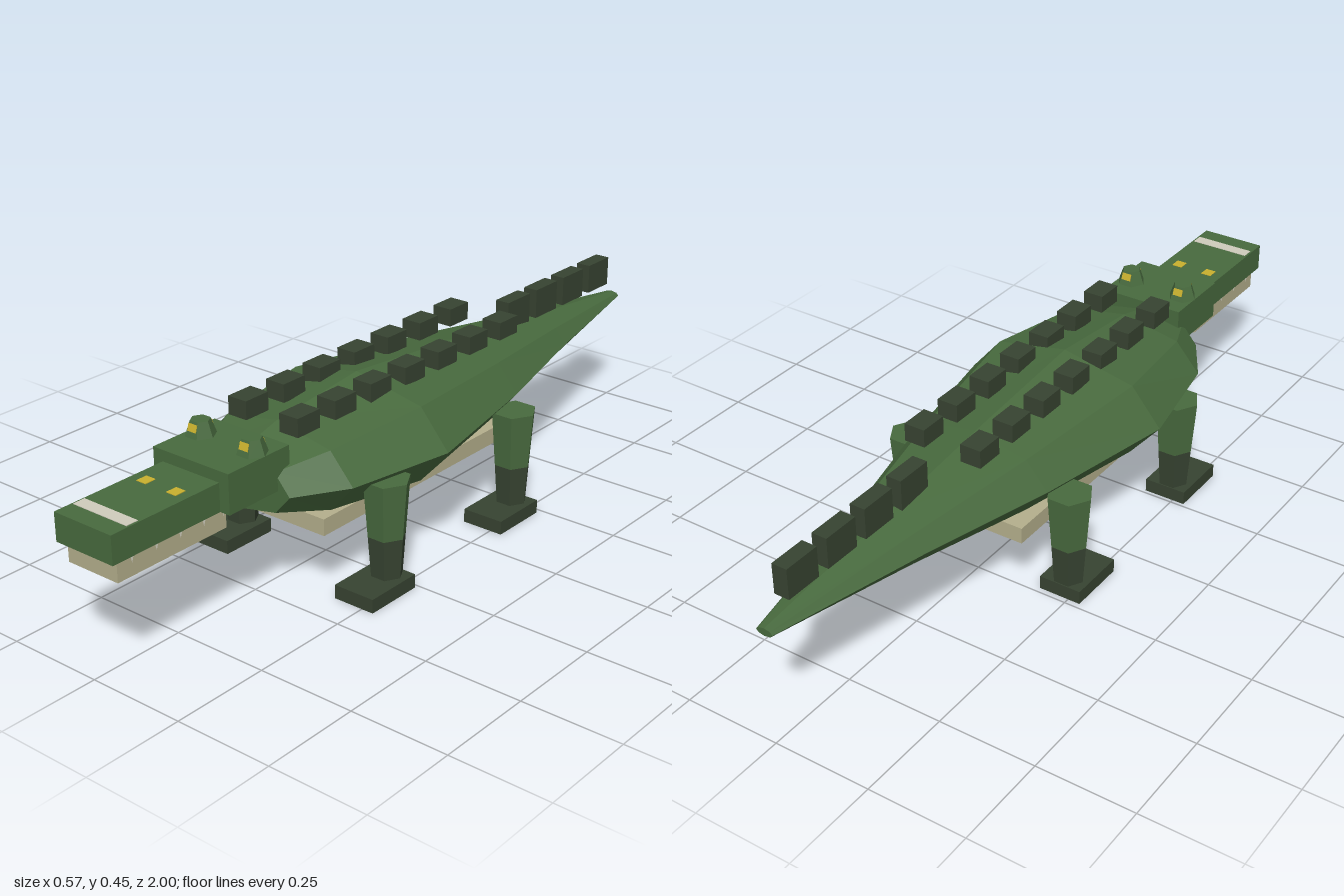
import * as THREE from 'three';

const mat = (name, color) => {
  const m = new THREE.MeshStandardMaterial({ color });
  m.name = name;
  return m;
};

// Facet a geometry so every face keeps its own normal
const facet = (g) => {
  const f = g.toNonIndexed();
  f.computeVertexNormals();
  return f;
};

export function createModel() {
  const root = new THREE.Group();
  root.name = 'crocodile';
  const green = mat('skin green', 0x486a3e);
  const dark = mat('dark scale', 0x374331);
  const beige = mat('belly beige', 0xb4af8c);
  const yellow = mat('eye yellow', 0xc9b02e);
  const ivory = mat('tooth ivory', 0xcfccbc);

  const add = (name, geo, material, x, y, z, parent = root) => {
    const mesh = new THREE.Mesh(geo, material);
    mesh.name = name;
    mesh.position.set(x, y, z);
    parent.add(mesh);
    return mesh;
  };
  // Box given by centre x, width, and its y and z limits
  const box = (name, material, x, w, y0, y1, z0, z1, parent) =>
    add(name, new THREE.BoxGeometry(w, y1 - y0, z1 - z0), material,
      x, (y0 + y1) / 2, (z0 + z1) / 2, parent);
  // Six-sided post with flat faces to front and back
  const post = (name, material, rTop, rBottom, x, y0, y1, z, parent) => {
    const g = new THREE.CylinderGeometry(rTop, rBottom, y1 - y0, 6);
    g.rotateY(Math.PI / 6);
    return add(name, facet(g), material, x, (y0 + y1) / 2, z, parent);
  };

  // Body and tail: eight-sided loft through rings of [z, half width, half height, centre y]
  const rings = [
    [0.535, 0.147, 0.07, 0.295],
    [0.41, 0.224, 0.104, 0.295],
    [0.13, 0.275, 0.134, 0.295],
    [-0.25, 0.2, 0.098, 0.297],
    [-0.6, 0.11, 0.055, 0.301],
    [-1, 0.022, 0.01, 0.305],
  ];
  const n = rings.length - 1;
  const bodyGeo = new THREE.CylinderGeometry(1, 1, 1, 8, n);
  bodyGeo.rotateX(Math.PI / 2);
  const p = bodyGeo.attributes.position;
  for (let i = 0; i < p.count; i++) {
    const [z, rx, ry, cy] = rings[Math.round((0.5 - p.getZ(i)) * n)];
    p.setXYZ(i, p.getX(i) * rx, cy + p.getY(i) * ry, z);
  }
  add('body', facet(bodyGeo), green, 0, 0, 0);
  box('belly', beige, 0, 0.324, 0.168, 0.21, -0.3, 0.44);

  // Head, snout and lower jaw
  box('head', green, 0, 0.226, 0.302, 0.4, 0.495, 0.688);
  box('snout', green, 0, 0.17, 0.302, 0.372, 0.68, 1);
  box('lowerJaw', beige, 0, 0.148, 0.25, 0.304, 0.66, 0.98);
  box('snoutStripe', ivory, 0, 0.16, 0.37, 0.3735, 0.92, 0.952);

  for (const side of [1, -1]) {
    const label = side > 0 ? 'left' : 'right';

    // Nostril
    box(label + 'Nostril', yellow, side * 0.045, 0.028, 0.37, 0.3735, 0.762, 0.792);

    // Eye: socket with thin panels lying on its front and back slopes
    const eye = new THREE.Group();
    eye.name = label + 'Eye';
    eye.position.set(side * 0.078, 0, 0.575);
    root.add(eye);
    post('eyeSocket', green, 0.024, 0.037, 0, 0.4, 0.437, 0, eye);
    for (const dir of [1, -1]) {
      const panel = box('eyePanel', yellow, 0, 0.026, 0.414, 0.432, -0.001, 0.001, eye);
      panel.position.z = dir * 0.0258;
      panel.rotation.x = -dir * 0.295;
    }

    // Teeth along the jaw
    for (const z of [0.94, 0.87, 0.8, 0.73, 0.67]) {
      const tooth = new THREE.ConeGeometry(0.007, 0.024, 4);
      tooth.rotateX(Math.PI);
      add(label + 'Tooth', facet(tooth), ivory, side * 0.077, 0.295, z);
    }

    // Legs: green thigh, dark shin and foot
    for (const [end, z] of [['Front', 0.297], ['Back', -0.198]]) {
      const leg = new THREE.Group();
      leg.name = label + end + 'Leg';
      leg.position.set(side * 0.228, 0, z);
      root.add(leg);
      post('thigh', green, 0.058, 0.047, 0, 0.138, 0.28, 0, leg);
      post('shin', dark, 0.047, 0.039, 0, 0.03, 0.138, 0, leg);
      box('foot', dark, -side * 0.002, 0.112, 0, 0.035, -0.037, 0.118, leg);
    }

    // Paired back scutes
    for (let i = 0; i < 7; i++) {
      const z = 0.42 - i * 0.127;
      box(label + 'Scute', dark, side * 0.078, 0.055, 0.4, 0.446, z - 0.037, z + 0.037);
    }
  }

  // Single row of tail scutes
  for (let i = 0; i < 4; i++) {
    const z = -0.51 - i * 0.127;
    box('tailScute', dark, 0, 0.04, 0.357, 0.435, z - 0.048, z + 0.048);
  }

  return root;
}
